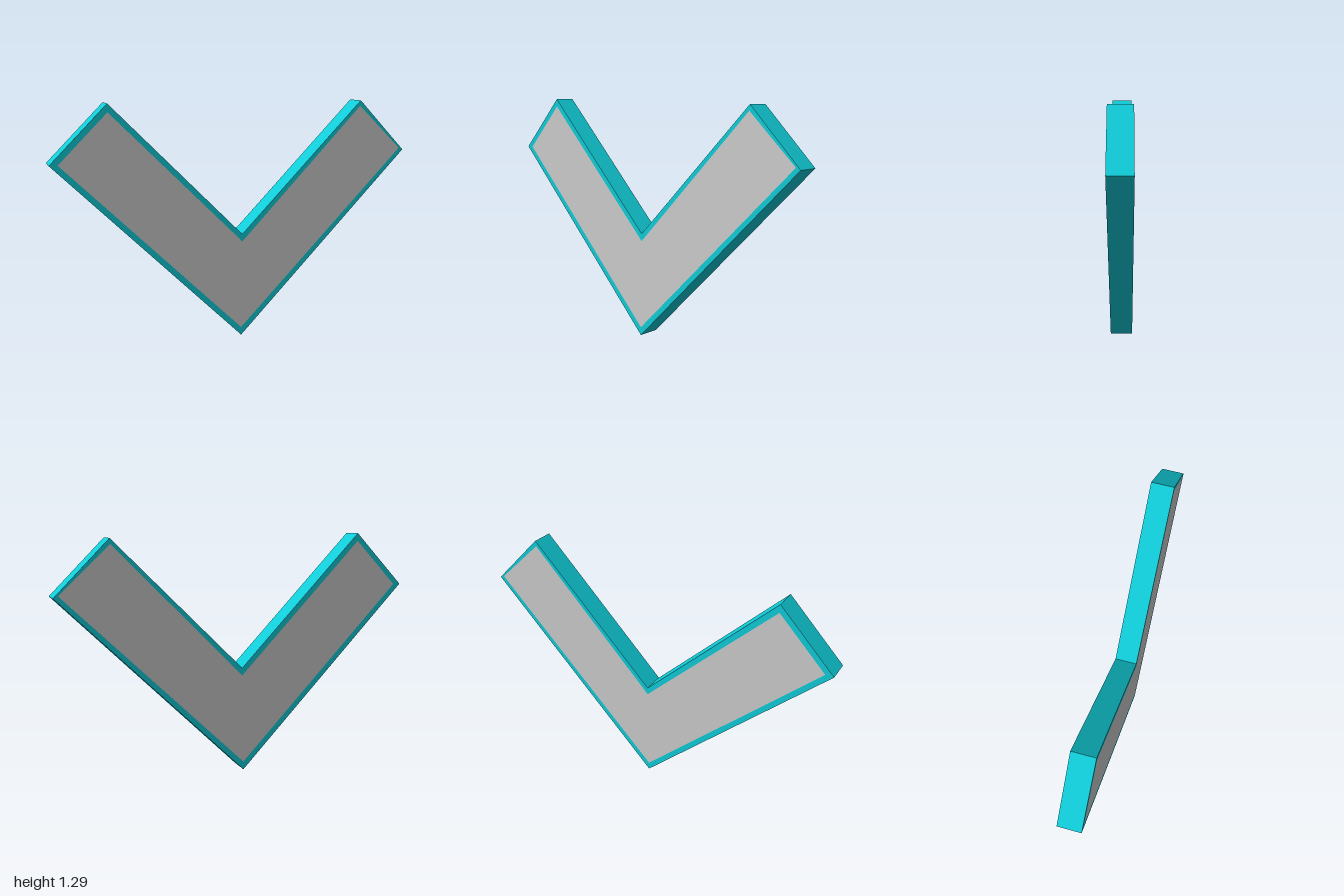
import * as THREE from 'three';

const DEPTH = 0.12;

// Chevron corners, counter-clockwise from the bottom point
const OUTER = [[0, 0], [1, 1], [0.715, 1.285], [0.007, 0.578], [-0.705, 1.295], [-1, 1]];
const INNER = [[0, 0.045], [0.975, 1.01], [0.712, 1.255], [0.007, 0.537], [-0.705, 1.252], [-0.957, 1]];

const toPoints = (corners) => corners.map(([x, y]) => new THREE.Vector2(x, y));

function slab(name, shape, color) {
  const geometry = new THREE.ExtrudeGeometry(shape, { depth: DEPTH, bevelEnabled: false });
  geometry.translate(0, 0, -DEPTH / 2);
  const mesh = new THREE.Mesh(geometry, new THREE.MeshStandardMaterial({ color }));
  mesh.name = name;
  return mesh;
}

export function createModel() {
  const group = new THREE.Group();
  group.name = 'chevron';

  // Coloured border running round the whole outline
  const borderShape = new THREE.Shape(toPoints(OUTER));
  borderShape.holes.push(new THREE.Path(toPoints(INNER)));
  group.add(slab('border', borderShape, 0x10ccd8));

  // Grey core filling the border, flush on both faces
  group.add(slab('core', new THREE.Shape(toPoints(INNER)), 0xcccccc));

  return group;
}
